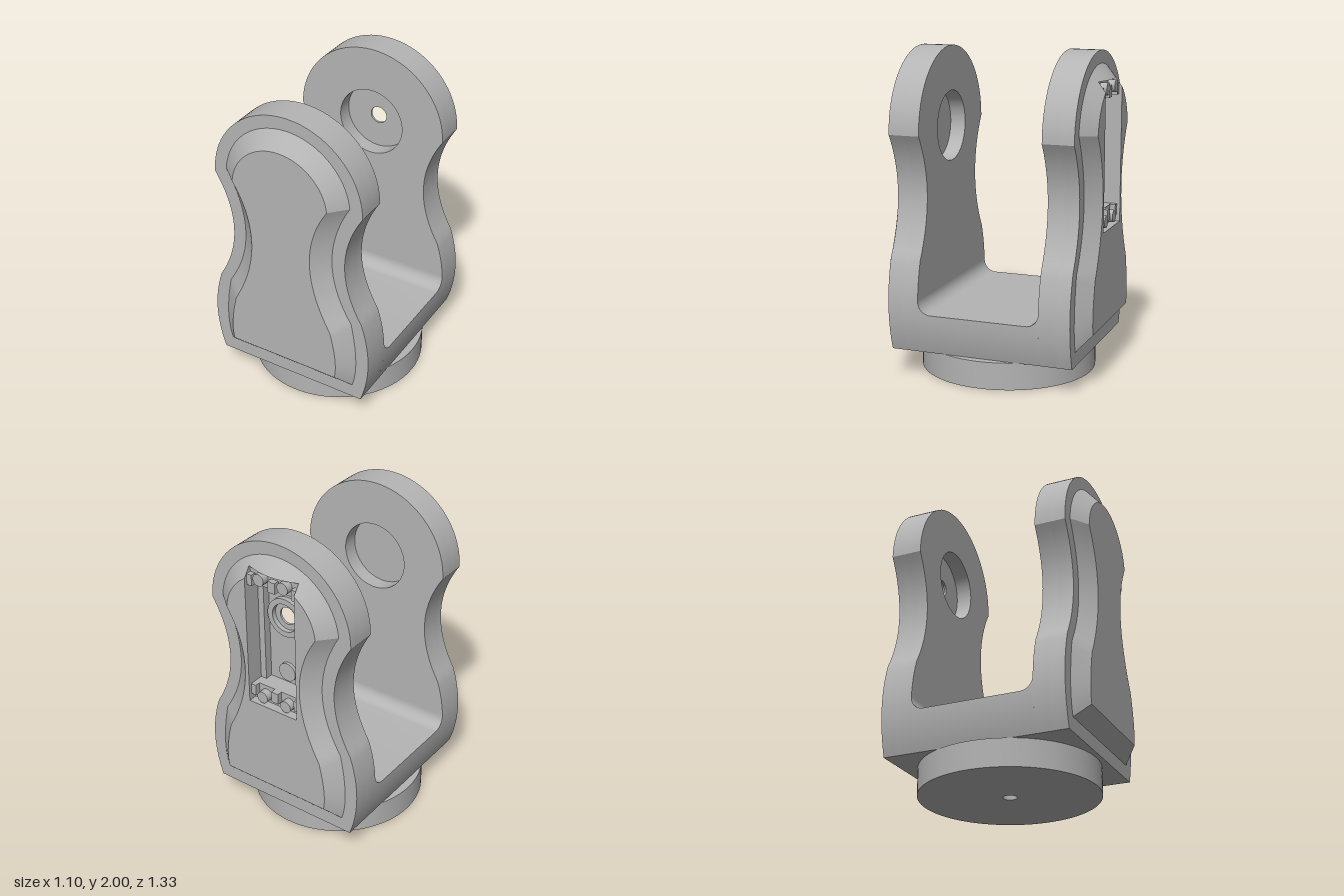
import * as THREE from 'three';
import { toCreasedNormals } from 'three/addons/utils/BufferGeometryUtils.js';

const grey = new THREE.MeshStandardMaterial({ color: 0xb4b4b4 });
grey.name = 'grey plastic';

const PIVOT = 1.5;                          // height of the pivot axis
const SLOT = { x: 0.175, y0: 0.93, y1: 1.83 }; // pocket in the rear arm
const A1 = Math.asin(SLOT.x / 0.32), A2 = Math.atan(SLOT.x / (SLOT.y1 - PIVOT));

function add(parent, name, geometry, x = 0, y = 0, z = 0) {
  const mesh = new THREE.Mesh(geometry, grey);
  mesh.name = name;
  mesh.position.set(x, y, z);
  parent.add(mesh);
  return mesh;
}

// parabola through three points, without its end point
function bow(a, m, b, n) {
  const c = [2 * m[0] - (a[0] + b[0]) / 2, 2 * m[1] - (a[1] + b[1]) / 2];
  return Array.from({ length: n }, (_, i) => {
    const t = i / n, s = 1 - t;
    return [0, 1].map(k => s * s * a[k] + 2 * s * t * c[k] + t * t * b[k]);
  });
}

// symmetric hourglass ring, anticlockwise from the lower right
function ring(bottom, belly, hip, waist, maxA, radius, zOf) {
  const polar = a => [radius(a) * Math.sin(a), PIVOT + radius(a) * Math.cos(a)];
  const angles = [A1, A2, -A1, -A2];
  for (let i = -20; i <= 20; i++) angles.push(maxA * i / 20);
  angles.sort((p, q) => q - p);
  const side = [...bow(bottom, belly, hip, 14), ...bow(hip, waist, polar(maxA), 18)]
    .map(([x, y]) => new THREE.Vector3(x, y, zOf(0)));
  const arc = angles.map(a => new THREE.Vector3(...polar(a), zOf(radius(a))));
  const mirrored = side.map(p => new THREE.Vector3(-p.x, p.y, p.z)).reverse();
  return [...side, ...arc, ...mirrored];
}

// skin between closed rings of equal length
function loft(rows, crease = 0.5) {
  const n = rows[0].length, index = [];
  for (let r = 0; r < rows.length - 1; r++) {
    for (let i = 0; i < n; i++) {
      const j = (i + 1) % n, a = r * n + i, b = r * n + j;
      index.push(a, b, a + n, b, b + n, a + n);
    }
  }
  const g = new THREE.BufferGeometry().setFromPoints(rows.flat());
  g.setIndex(index);
  return toCreasedNormals(g, crease);
}

const toShape = pts => new THREE.Shape(pts.map(p => new THREE.Vector2(p.x, p.y)));
const circle = r => new THREE.Path().absarc(0, PIVOT, r, 0, Math.PI * 2, true);
const slotPath = () => new THREE.Path([[-1, 0], [-1, 1], [1, 1], [1, 0]].map(
  ([sx, t]) => new THREE.Vector2(sx * SLOT.x, t ? SLOT.y1 : SLOT.y0)));

const BOTTOM = [0.5, 0.17], BELLY = [0.55, 0.46], HIP = [0.5, 0.75];
const outline = ring(BOTTOM, BELLY, HIP, [0.385, 1.13], Math.PI / 2, () => 0.5, () => 0);

function slab(depth, hole) {
  const shape = toShape(outline);
  if (hole) shape.holes.push(hole);
  return toCreasedNormals(new THREE.ExtrudeGeometry(shape,
    { depth, bevelEnabled: false, curveSegments: 40 }), 0.4);
}

// raised pad with sloping border, optionally cut open by the pocket
function addPad(arm, open) {
  const base = ring([0.44, 0.26], [0.465, 0.46], [0.43, 0.73], [0.3, 1.13], 1.466,
    () => 0.42, () => 0.58);
  const radius = a => open ? Math.max(0.32, Math.min((SLOT.y1 - PIVOT) / Math.cos(a),
    SLOT.x / Math.max(1e-6, Math.abs(Math.sin(a))))) : 0.32;
  const top = ring([0.365, 0.35], [0.37, 0.49], [0.335, 0.68], [0.2, 1.13], 1.466,
    radius, r => 0.665 - 0.85 * Math.max(0, r - 0.32));
  add(arm, 'padBorder', loft([base, top], 0.4));

  let face = top;
  if (open) {
    const flat = top.filter(p => p.z > 0.6649);
    const low = [1, -1].map(s => new THREE.Vector3(s * SLOT.x, SLOT.y0, 0.665));
    face = [...flat.filter(p => p.x > 0), ...low, ...flat.filter(p => p.x < 0)];
    const rim = [...top.filter(p => p.y > 1.7 && Math.abs(p.x) < SLOT.x + 1e-4),
      low[1], low[0]];
    const floor = rim.map(p => new THREE.Vector3(p.x, p.y, 0.58));
    add(arm, 'pocketWall', loft([rim, floor], 0.4));
  }
  add(arm, 'padFace', new THREE.ShapeGeometry(toShape(face)), 0, 0, 0.665);
}

// clips, rails and boss inside the pocket
function addPocketFittings(arm) {
  for (const [y, dir] of [[1.775, -1], [0.985, 1]]) {
    add(arm, 'clipBlock', new THREE.BoxGeometry(0.35, 0.11, 0.11), 0, y, 0.555);
    for (const x of [-0.085, 0.085]) {
      const knob = add(arm, 'clipKnob',
        new THREE.CylinderGeometry(0.038, 0.038, 0.05, 24), x, y - dir * 0.005, 0.63);
      knob.rotation.x = Math.PI / 2;
    }
    for (const [x, w] of [[-0.158, 0.034], [0, 0.05], [0.158, 0.034]]) {
      add(arm, 'clipLug', new THREE.BoxGeometry(w, 0.07, 0.04), x, y + dir * 0.02, 0.625);
    }
  }
  for (const x of [-0.155, 0.155]) {
    add(arm, 'pocketRail', new THREE.BoxGeometry(0.04, 0.7, 0.05), x, 1.38, 0.525);
  }
  const boss = new THREE.Shape().absarc(0, PIVOT, 0.125, 0, Math.PI * 2);
  boss.holes.push(circle(0.09));
  add(arm, 'pivotBoss', toCreasedNormals(new THREE.ExtrudeGeometry(boss,
    { depth: 0.03, bevelEnabled: false, curveSegments: 32 }), 0.5), 0, 0, 0.5);
  const button = add(arm, 'pocketButton',
    new THREE.CylinderGeometry(0.06, 0.06, 0.02, 32), 0, 1.12, 0.51);
  button.rotation.x = Math.PI / 2;
}

function makeArm(name, open) {
  const arm = new THREE.Group();
  arm.name = name;
  add(arm, 'socketLayer', slab(0.1, circle(0.22)), 0, 0, 0.385);
  if (open) {
    add(arm, 'pivotWall', slab(0.015, circle(0.055)), 0, 0, 0.485);
    add(arm, 'pocketLayer', slab(0.08, slotPath()), 0, 0, 0.5);
    addPocketFittings(arm);
  } else {
    add(arm, 'outerLayer', slab(0.095), 0, 0, 0.485);
  }
  addPad(arm, open);
  return arm;
}

// bridge between the arms, with filleted inner corners
function makeBridge() {
  const flanks = [...bow(BOTTOM, BELLY, HIP, 60), HIP];
  const widthAt = y => {
    const i = Math.max(1, flanks.findIndex(p => p[1] >= y));
    const [a, b] = [flanks[i - 1], flanks[i]];
    return a[0] + (b[0] - a[0]) * (y - a[1]) / (b[1] - a[1]);
  };
  const stations = [];
  const R = 0.08;
  for (let i = 0; i <= 10; i++) {
    const a = i / 10 * Math.PI / 2;
    stations.push([0.385 - R + R * Math.sin(a), 0.42 + R * (1 - Math.cos(a))]);
  }
  const all = [...stations.map(([z, h]) => [-z, h]).reverse(), ...stations];
  return loft(all.map(([z, h]) => {
    const right = Array.from({ length: 12 }, (_, j) => {
      const y = 0.17 + (h - 0.17) * j / 11;
      return new THREE.Vector3(widthAt(y), y, z);
    });
    return [...right, ...right.map(p => new THREE.Vector3(-p.x, p.y, z)).reverse()];
  }));
}

export function createModel() {
  const model = new THREE.Group();
  model.name = 'forkBracket';

  // round foot with a blind centre hole
  const foot = [[0, 0.1], [0.043, 0.1], [0.043, 0], [0.55, 0], [0.55, 0.17], [0, 0.17]]
    .map(p => new THREE.Vector2(...p));
  add(model, 'foot', toCreasedNormals(new THREE.LatheGeometry(foot, 72), 0.5));

  add(model, 'bridge', makeBridge());
  model.add(makeArm('frontArm', false));
  const rear = makeArm('rearArm', true);
  rear.rotation.y = Math.PI;
  model.add(rear);
  return model;
}
